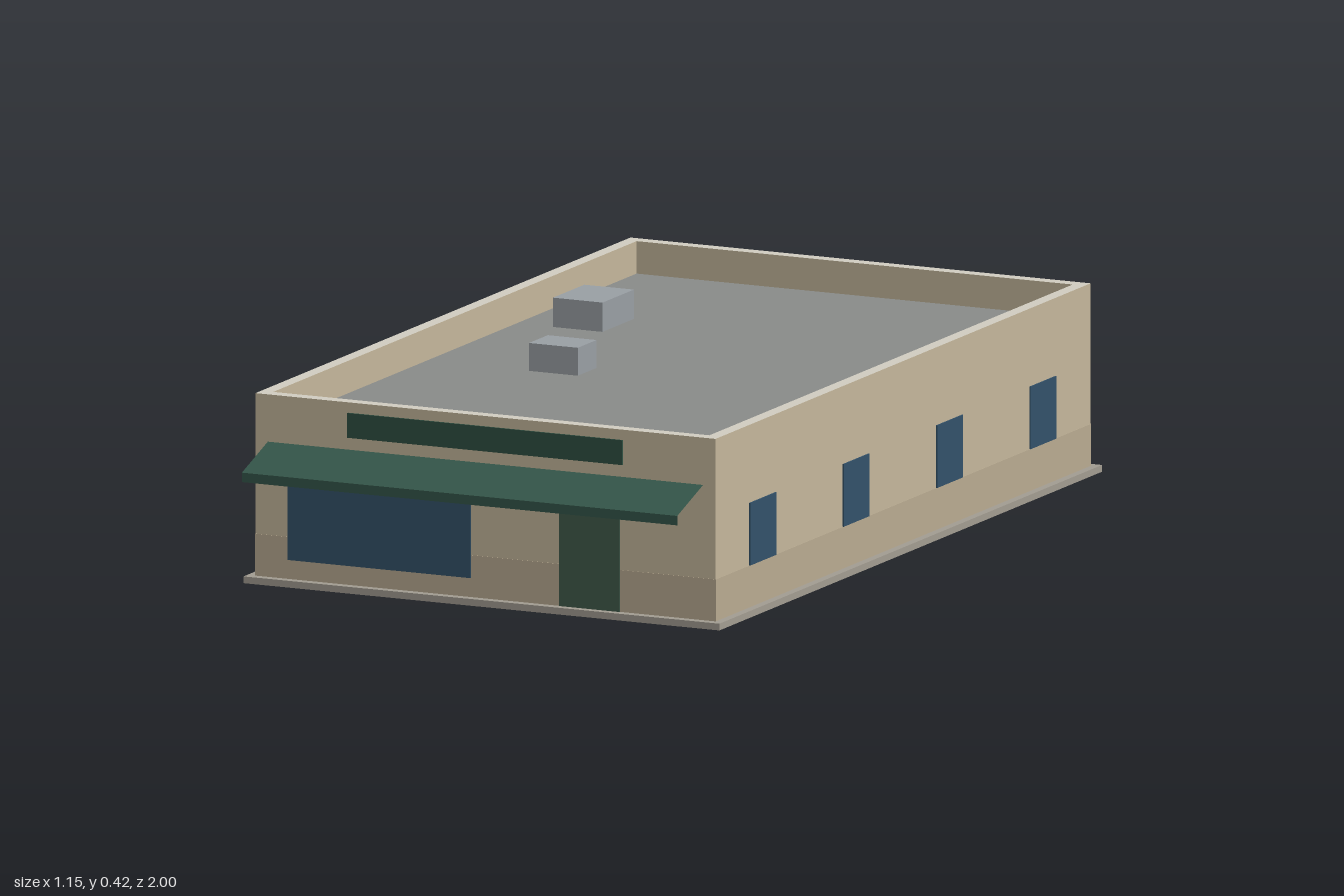
import * as THREE from 'three';

const mat = (color, extra = {}) => {
  const m = new THREE.MeshStandardMaterial(extra);
  m.color.set(color);
  return m;
};

// Building footprint and heights
const W = 0.557, BACK = -0.982, FRONT = 0.872;
const MID = (BACK + FRONT) / 2, LENGTH = FRONT - BACK;
const BASE = 0.015, TOP = 0.42, ROOF = 0.348, WALL = 0.029;

export function createModel() {
  const group = new THREE.Group();
  const tan = mat(0xc6b89c), band = mat(0xbaac92), cream = mat(0xd2cec2);
  const glass = mat(0x33526a), green = mat(0x2f5042), doorGreen = mat(0x405b4b);
  const unitGrey = mat(0x9aa0a5), shutterGrey = mat(0x82868a);

  const add = (name, geometry, material) => {
    const mesh = new THREE.Mesh(geometry, material);
    mesh.name = name;
    group.add(mesh);
    return mesh;
  };
  // Box given by its low and high corner on each axis
  const box = (name, material, x0, x1, y0, y1, z0, z1) => {
    const mesh = add(name, new THREE.BoxGeometry(x1 - x0, y1 - y0, z1 - z0), material);
    mesh.position.set((x0 + x1) / 2, (y0 + y1) / 2, (z0 + z1) / 2);
    return mesh;
  };
  // Thin panels lying on the front and back walls
  const onFront = (name, m, x0, x1, y0, y1, out = 0.002) => box(name, m, x0, x1, y0, y1, FRONT - 0.005, FRONT + out);
  const onBack = (name, m, x0, x1, y0, y1, out = 0.002) => box(name, m, x0, x1, y0, y1, BACK - out, BACK + 0.005);

  // Ground slab
  box('slab', mat(0xa39d92), -0.576, 0.576, 0, BASE, -1, 0.892);

  // Walls with parapet: a rectangular ring with a pale coping on top
  const rect = (Type, hx, hy) => {
    const s = new Type();
    s.moveTo(-hx, -hy);
    s.lineTo(hx, -hy);
    s.lineTo(hx, hy);
    s.lineTo(-hx, hy);
    s.closePath();
    return s;
  };
  const ring = rect(THREE.Shape, W, LENGTH / 2);
  ring.holes.push(rect(THREE.Path, W - WALL, LENGTH / 2 - WALL));
  const wallGeometry = new THREE.ExtrudeGeometry(ring, { depth: TOP - BASE, bevelEnabled: false });
  wallGeometry.rotateX(-Math.PI / 2);
  add('walls', wallGeometry, [cream, tan]).position.set(0, BASE, MID);

  // Darker band along the foot of the walls
  box('wallBand', band, -W - 0.001, W + 0.001, BASE, 0.108, BACK - 0.001, FRONT + 0.001);

  // Flat roof and its two equipment boxes
  box('roof', mat(0x8a8c8a), -W + WALL, W - WALL, ROOF - 0.02, ROOF, BACK + WALL, FRONT - WALL);
  box('roofUnit', unitGrey, -0.44, -0.32, ROOF, ROOF + 0.065, -0.515, -0.36);
  box('roofUnit', unitGrey, -0.28, -0.162, ROOF, ROOF + 0.062, -0.008, 0.085);

  // Four windows on each long side
  for (const side of [-1, 1]) {
    for (let i = 0; i < 4; i++) {
      const z = 0.642 - i * 0.462;
      const x = side * W;
      box('sideWindow', glass, x - 0.003, x + 0.003, 0.108, 0.247, z - 0.064, z + 0.064);
    }
  }

  // Shop front
  onFront('shopWindow', glass, -0.478, -0.035, 0.057, 0.257);
  onFront('frontDoor', doorGreen, 0.18, 0.326, BASE, 0.237, 0.003);
  onFront('signBoard', green, -0.333, 0.333, 0.342, 0.397, 0.004);

  // Back wall
  onBack('backWindow', glass, -0.433, 0.064, 0.108, 0.247);
  onBack('rollerDoor', shutterGrey, -0.305, -0.064, BASE, 0.27, 0.003);
  onBack('backDoor', doorGreen, -0.469, -0.38, BASE, 0.2, 0.004);

  // Awning: a thin sloping sheet with a hanging valance
  const awning = new THREE.Group();
  awning.name = 'awning';
  const cloth = mat(0x34564a, { side: THREE.DoubleSide });
  const rise = 0.045, reach = 1 - FRONT;
  const sheet = new THREE.Mesh(new THREE.PlaneGeometry(1.054, Math.hypot(rise, reach)), cloth);
  sheet.name = 'awningSheet';
  sheet.rotation.x = -Math.atan2(reach, rise);
  sheet.position.set(0, 0.27 + rise / 2, FRONT + reach / 2);
  const valance = new THREE.Mesh(new THREE.PlaneGeometry(1.054, 0.021), cloth);
  valance.name = 'awningValance';
  valance.position.set(0, 0.2595, 1);
  awning.add(sheet, valance);
  group.add(awning);

  return group;
}
